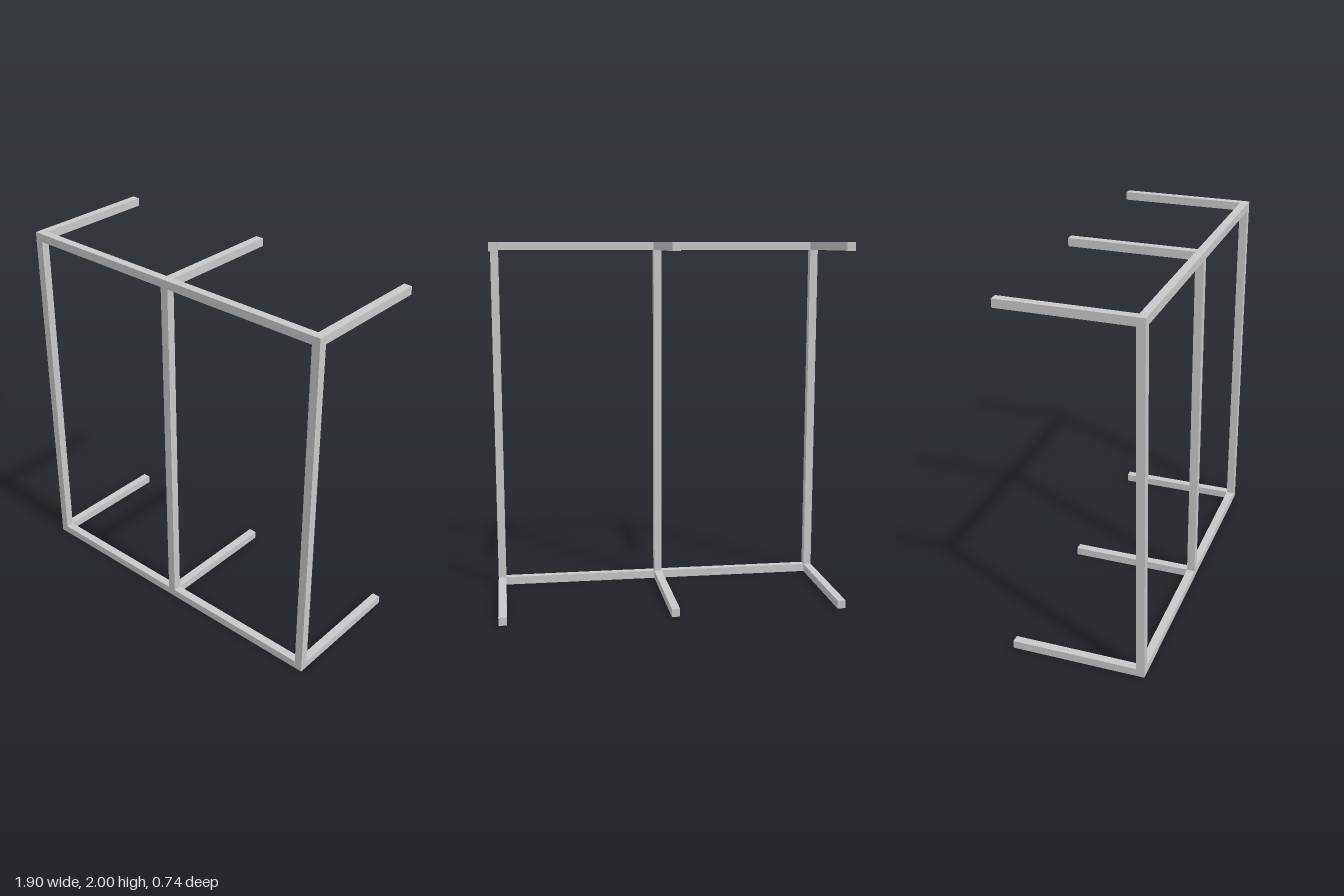
import * as THREE from 'three';

export function createModel() {
  const model = new THREE.Group();
  const steel = new THREE.MeshStandardMaterial({ color: 0xc8c8c8 });
  steel.name = 'light grey steel';

  const T = 0.045;                       // square tube thickness
  const W = 1.9, H = 2, D = 0.74;        // overall size
  const frontZ = D / 2 - T / 2;

  function bar(name, w, h, d, x, y, z) {
    const mesh = new THREE.Mesh(new THREE.BoxGeometry(w, h, d), steel);
    mesh.name = name;
    mesh.position.set(x, y, z);
    model.add(mesh);
  }

  const columns = [['right', -(W - T) / 2], ['middle', 0], ['left', (W - T) / 2]];
  const levels = [['bottom', T / 2], ['top', H - T / 2]];

  // Long rails across the front
  for (const [level, y] of levels) bar(`${level}Rail`, W, T, T, 0, y, frontZ);

  for (const [side, x] of columns) {
    // Upright between the rails
    bar(`${side}Post`, T, H - 2 * T, T, x, H / 2, frontZ);
    // Arms reaching back from both rails
    for (const [level, y] of levels) bar(`${side}${level === 'top' ? 'Top' : 'Bottom'}Arm`, T, T, D - T, x, y, -T / 2);
  }

  return model;
}
